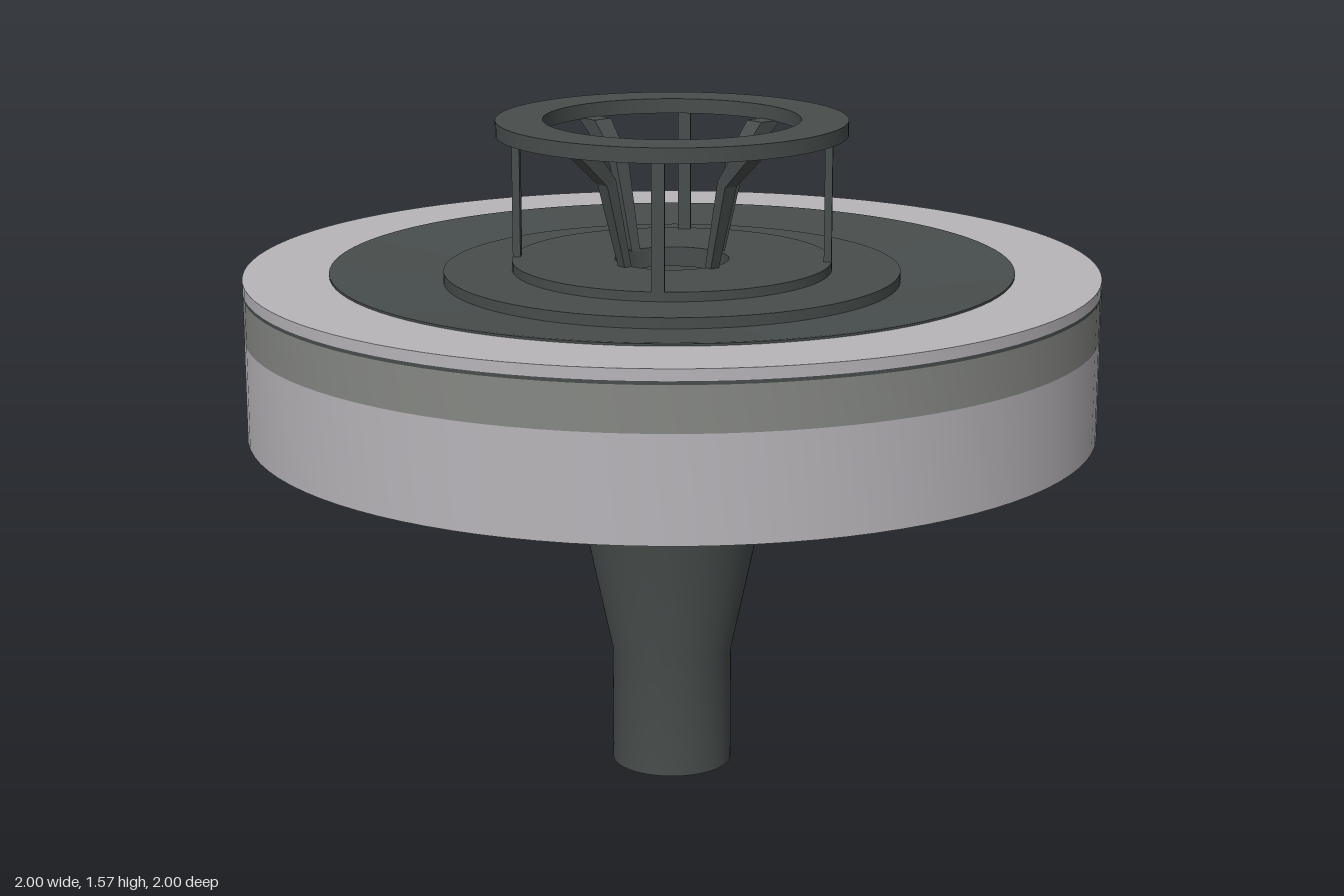
import * as THREE from 'three';
import { toCreasedNormals } from 'three/addons/utils/BufferGeometryUtils.js';

export function createModel() {
  const model = new THREE.Group();
  model.name = 'roofDrain';
  const mat = (name, color) => {
    const m = new THREE.MeshStandardMaterial({ color });
    m.name = name;
    return m;
  };
  const concrete = mat('pale concrete', 0xb8b5ba);
  const insulation = mat('grey insulation', 0x868884);
  const castIron = mat('dark cast iron', 0x484e4d);

  const add = (name, geometry, material, parent = model) => {
    const mesh = new THREE.Mesh(geometry, material);
    mesh.name = name;
    parent.add(mesh);
    return mesh;
  };

  // Closed profile of [radius, y], listed counter-clockwise, spun about y
  const spin = (name, profile, material, parent) => {
    const points = [...profile, profile[0]].map(([r, y]) => new THREE.Vector2(r, y));
    return add(name, toCreasedNormals(new THREE.LatheGeometry(points, 96), 0.5), material, parent);
  };
  const ring = (name, inner, outer, y0, y1, material, parent) =>
    spin(name, [[outer, y0], [outer, y1], [inner, y1], [inner, y0]], material, parent);

  // Round cut of roof, bottom to top
  ring('roofSlab', 0.35, 1, 0.84, 1.08, concrete);
  ring('fillerCollar', 0.255, 0.35, 0.84, 1.08, insulation);
  ring('insulationLayer', 0.35, 1, 1.08, 1.183, insulation);
  ring('membraneEdge', 0.5, 1, 1.183, 1.191, castIron);
  ring('topLayer', 0.8, 1, 1.191, 1.217, concrete);

  // Membrane dished gently toward the drain
  spin('dishedMembrane', [
    [0.8, 1.191], [0.8, 1.222], [0.79, 1.222], [0.54, 1.193], [0.34, 1.193], [0.34, 1.185],
  ], castIron);

  // Open outlet pipe widening into the funnel
  spin('outletPipe', [
    [0.143, 0], [0.143, 0.28], [0.262, 0.84], [0.337, 1.19],
    [0.322, 1.19], [0.25, 0.84], [0.132, 0.28], [0.132, 0],
  ], castIron);

  // Clamping flange and strainer base
  ring('clampingFlange', 0.134, 0.535, 1.193, 1.218, castIron);
  ring('strainerBase', 0.134, 0.375, 1.218, 1.24, castIron);

  // Raised strainer cage
  const cage = new THREE.Group();
  cage.name = 'strainerCage';
  model.add(cage);
  ring('cageTopRing', 0.3, 0.41, 1.535, 1.57, castIron, cage);

  // Bent fin: side profile extruded, then widened toward the top
  const finShape = new THREE.Shape([
    [0.132, 1.235], [0.152, 1.235], [0.208, 1.437], [0.318, 1.537], [0.255, 1.537], [0.183, 1.45],
  ].map(([r, y]) => new THREE.Vector2(r, y)));
  const finGeometry = new THREE.ExtrudeGeometry(finShape, { depth: 1, bevelEnabled: false });
  const pos = finGeometry.attributes.position;
  for (let i = 0; i < pos.count; i++) {
    const t = (pos.getY(i) - 1.235) / 0.302;
    pos.setZ(i, (pos.getZ(i) - 0.5) * (0.025 + 0.025 * t * t));
  }
  finGeometry.computeVertexNormals();

  // Four straight posts on the axes, four fins on the diagonals
  const postGeometry = new THREE.BoxGeometry(0.018, 0.3, 0.03).translate(0.365, 1.387, 0);
  for (let i = 0; i < 4; i++) {
    add('cagePost', postGeometry, castIron, cage).rotation.y = i * Math.PI / 2;
    add('cageFin', finGeometry, castIron, cage).rotation.y = (i + 0.5) * Math.PI / 2;
  }

  return model;
}
